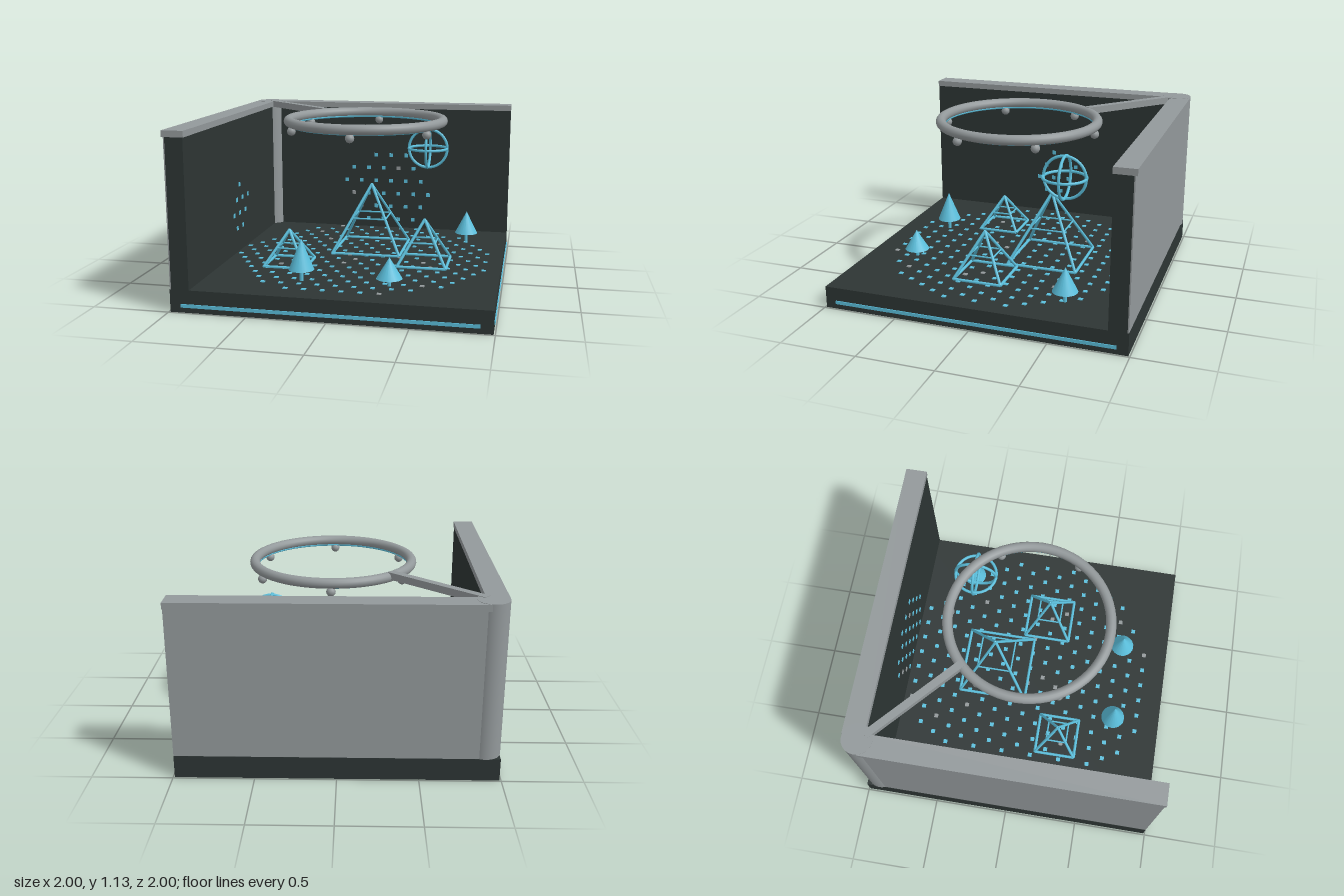
import * as THREE from 'three';

const mat = (name, color) => {
  const m = new THREE.MeshStandardMaterial({ color });
  m.name = name;
  return m;
};

export function createModel() {
  const root = new THREE.Group();
  root.name = 'cornerDiorama';
  const dark = mat('charcoal', 0x2d3534);
  const grey = mat('grey', 0x93999b);
  const cyan = mat('cyan', 0x5bbfdc);

  const add = (name, geo, material, x = 0, y = 0, z = 0, parent = root) => {
    const m = new THREE.Mesh(geo, material);
    m.name = name;
    m.position.set(x, y, z);
    parent.add(m);
    return m;
  };
  // box given by its limits
  const box = (name, material, x0, x1, y0, y1, z0, z1) =>
    add(name, new THREE.BoxGeometry(x1 - x0, y1 - y0, z1 - z0), material,
      (x0 + x1) / 2, (y0 + y1) / 2, (z0 + z1) / 2);
  const group = (name) => {
    const g = new THREE.Group();
    g.name = name;
    root.add(g);
    return g;
  };

  // base slab with light strips on the two open sides
  const F = 0.145;
  box('base', dark, -0.99, 0.99, 0, F, -0.99, 0.99);
  box('frontLightStrip', cyan, -0.92, 0.915, 0.034, 0.056, 0.988, 0.996);
  box('sideLightStrip', cyan, 0.988, 0.996, 0.034, 0.056, -0.92, 0.92);

  // walls: dark inside, grey outer cladding, grey cap
  box('backWall', dark, -0.9, 0.99, F, 1.09, -0.98, -0.865);
  box('backCladding', grey, -0.9, 0.99, F, 1.09, -0.988, -0.98);
  box('backCap', grey, -0.88, 0.992, 1.09, 1.13, -1, -0.86);
  box('sideWall', dark, -0.98, -0.865, F, 1.09, -0.9, 0.99);
  box('sideCladding', grey, -0.988, -0.98, F, 1.09, -0.9, 0.99);
  box('sideCap', grey, -1, -0.86, 1.09, 1.13, -0.88, 0.992);
  add('cornerColumn', new THREE.CylinderGeometry(0.097, 0.097, 1.132 - F, 32), grey,
    -0.9, (1.132 + F) / 2, -0.9);

  // overhead ring with light band, lamps and support arm
  const RX = 0.045, RY = 1.1;
  add('overheadRing', new THREE.TorusGeometry(0.523, 0.033, 14, 64).rotateX(Math.PI / 2), grey, RX, RY, 0);
  add('ringLight', new THREE.TorusGeometry(0.51, 0.009, 8, 64).rotateX(Math.PI / 2), cyan, RX, 1.07, 0);
  for (let i = 0; i < 6; i++) {
    const a = Math.PI / 6 + i * Math.PI / 3;
    add('lamp', new THREE.SphereGeometry(0.03, 12, 8), grey,
      RX + 0.52 * Math.cos(a), 1.045, 0.52 * Math.sin(a));
  }
  const a0 = new THREE.Vector3(-0.87, 1.112, -0.86), a1 = new THREE.Vector3(-0.325, 1.112, -0.37);
  const arm = add('supportArm', new THREE.BoxGeometry(0.05, 0.046, a0.distanceTo(a1)), grey);
  arm.position.copy(a0).lerp(a1, 0.5);
  arm.lookAt(a1);

  // rod between two points
  const rod = (name, a, b, r, parent) => {
    const m = add(name, new THREE.CylinderGeometry(r, r, a.distanceTo(b), 8), cyan, 0, 0, 0, parent);
    m.position.copy(a).lerp(b, 0.5);
    m.quaternion.setFromUnitVectors(new THREE.Vector3(0, 1, 0), b.clone().sub(a).normalize());
  };

  // wire pyramids: base square, half-height square, four slanted edges
  for (const [x, z, half, top] of [[0.045, -0.235, 0.238, 0.612], [0.47, 0.09, 0.163, 0.447], [-0.425, 0.28, 0.14, 0.377]]) {
    const g = group('wirePyramid');
    const y0 = 0.152, apex = new THREE.Vector3(x, top, z);
    const ring = (h, y) => [[-1, -1], [1, -1], [1, 1], [-1, 1]]
      .map(([sx, sz]) => new THREE.Vector3(x + sx * h, y, z + sz * h));
    const low = ring(half, y0), mid = ring(half / 2, (y0 + top) / 2);
    for (let i = 0; i < 4; i++) {
      rod('baseRod', low[i], low[(i + 1) % 4], 0.01, g);
      rod('middleRod', mid[i], mid[(i + 1) % 4], 0.006, g);
      rod('slantedRod', low[i], apex, 0.01, g);
    }
  }

  // floating wire globe: three crossed hoops
  const globe = group('wireGlobe');
  globe.position.set(0.422, 0.853, -0.43);
  for (const [rx, ry] of [[0, 0], [Math.PI / 2, 0], [0, Math.PI / 2]]) {
    const hoop = add('globeHoop', new THREE.TorusGeometry(0.139, 0.01, 8, 40), cyan, 0, 0, 0, globe);
    hoop.rotation.set(rx, ry, 0);
  }

  // cone trees
  for (const [x, z, y0, y1] of [[-0.24, 0.655, 0.22, 0.422], [0.325, 0.655, 0.195, 0.332], [0.705, -0.525, 0.215, 0.375]]) {
    const g = group('tree');
    add('treeTrunk', new THREE.CylinderGeometry(0.012, 0.012, y0 - F + 0.01, 10), cyan, x, (y0 + F) / 2, z, g);
    add('treeCrown', new THREE.ConeGeometry(0.082, y1 - y0, 20), cyan, x, (y0 + y1) / 2, z, g);
  }

  // staggered square tiles within a circle; a few are grey
  let seed = 7;
  const rand = () => (seed = (seed * 16807) % 2147483647) / 2147483647;
  const P = 0.118, Q = 0.1025;
  const tiles = (cu, cv, radius, u0, v0, place) => {
    for (let j = -9; j <= 9; j++) {
      for (let i = -9; i <= 9; i++) {
        const u = u0 + (i + (j & 1 ? 0.5 : 0)) * P, v = v0 + j * Q;
        if (Math.hypot(u - cu, v - cv) <= radius) place(u, v, rand() < 0.07 ? grey : cyan);
      }
    }
  };
  const S = 0.028, T = 0.006;
  const floor = group('floorTiles'), back = group('backWallTiles'), side = group('sideWallTiles');
  tiles(0.04, 0, 0.895, 0.055, 0.007, (u, v, m) =>
    add('floorTile', new THREE.BoxGeometry(S, T, S), m, u, F + 0.002, v, floor));
  tiles(0.05, 0.46, 0.33, 0.08, 0.725, (u, v, m) =>
    add('backTile', new THREE.BoxGeometry(S, S, T), m, u, v, -0.863, back));
  tiles(0, 0.46, 0.175, 0.025, 0.625, (u, v, m) =>
    add('sideTile', new THREE.BoxGeometry(T, S, S), m, -0.863, v, u, side));

  return root;
}
